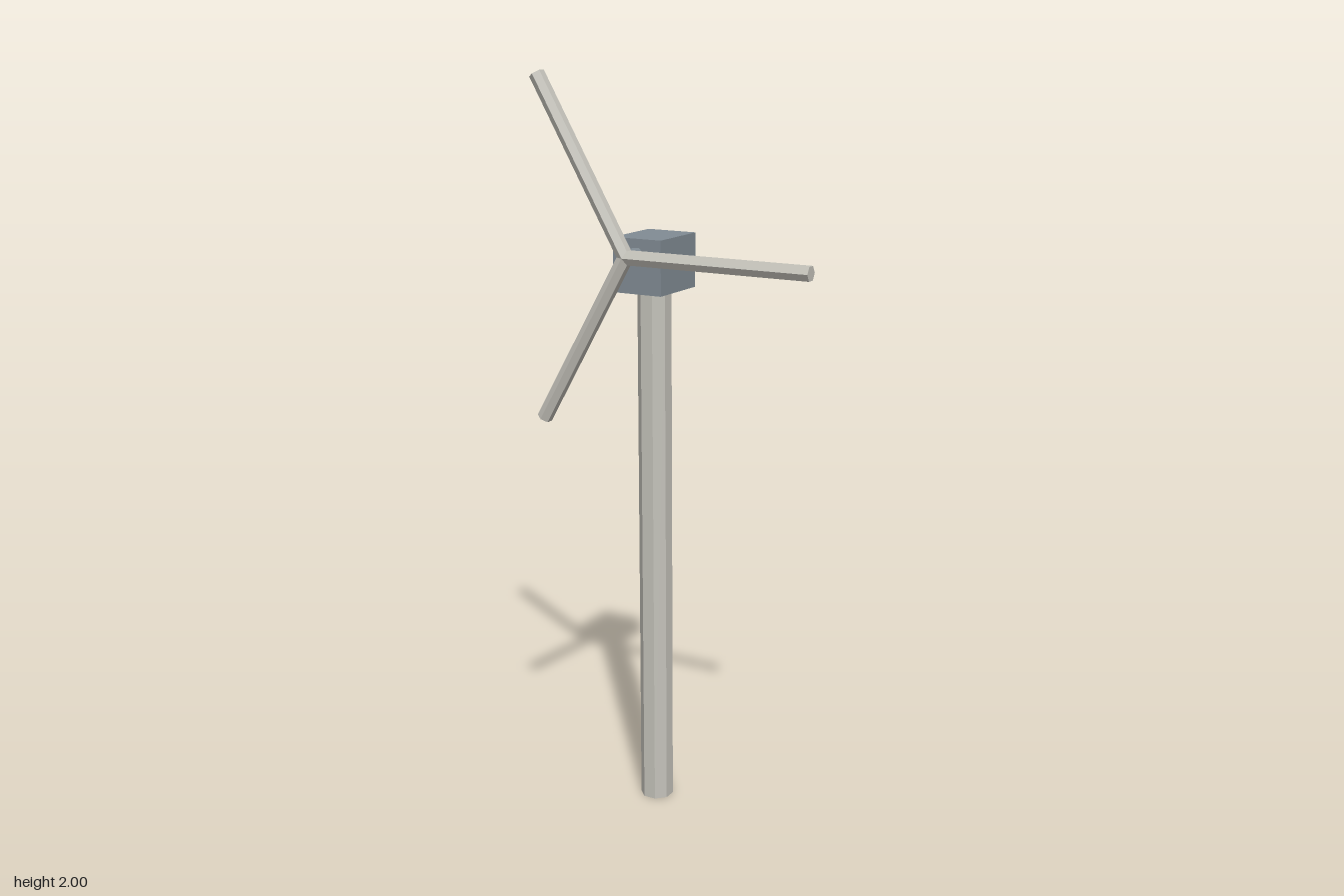
import * as THREE from 'three';

const X = -0.122, Z = -0.037, HUB_Y = 1.543, ROTOR_Z = 0.104;

export function createModel() {
  const group = new THREE.Group();
  const pale = new THREE.MeshStandardMaterial({ color: 0xc4c2ba, flatShading: true });
  const slate = new THREE.MeshStandardMaterial({ color: 0x818c94, flatShading: true });

  const add = (name, geometry, material, x, y, z, parent = group) => {
    const mesh = new THREE.Mesh(geometry, material);
    mesh.name = name;
    mesh.position.set(x, y, z);
    parent.add(mesh);
    return mesh;
  };

  // Octagonal tower, flat sides facing the axes
  const tower = new THREE.CylinderGeometry(0.045, 0.045, 1.45, 8);
  tower.rotateY(Math.PI / 8);
  add('tower', tower, pale, X, 0.725, Z);

  // Nacelle box on top of the tower
  add('nacelle', new THREE.BoxGeometry(0.142, 0.143, 0.178), slate, X, 1.5125, -0.039);

  // Short shaft from the nacelle to the rotor
  const shaft = new THREE.CylinderGeometry(0.019, 0.019, 0.08, 8);
  shaft.rotateY(Math.PI / 8).rotateX(Math.PI / 2);
  add('rotorShaft', shaft, slate, X, HUB_Y, 0.052);

  // Three hexagonal blades, each starting at the hub centre
  const rotor = new THREE.Group();
  rotor.name = 'rotor';
  rotor.position.set(X, HUB_Y, ROTOR_Z);
  group.add(rotor);
  const length = 0.517;
  const blade = new THREE.CylinderGeometry(0.0205, 0.0205, length, 6);
  blade.translate(0, length / 2, 0).rotateZ(-Math.PI / 2);
  for (let i = 0; i < 3; i++) {
    add('blade', blade, pale, 0, 0, 0, rotor).rotation.z = (i * Math.PI * 2) / 3;
  }
  return group;
}
